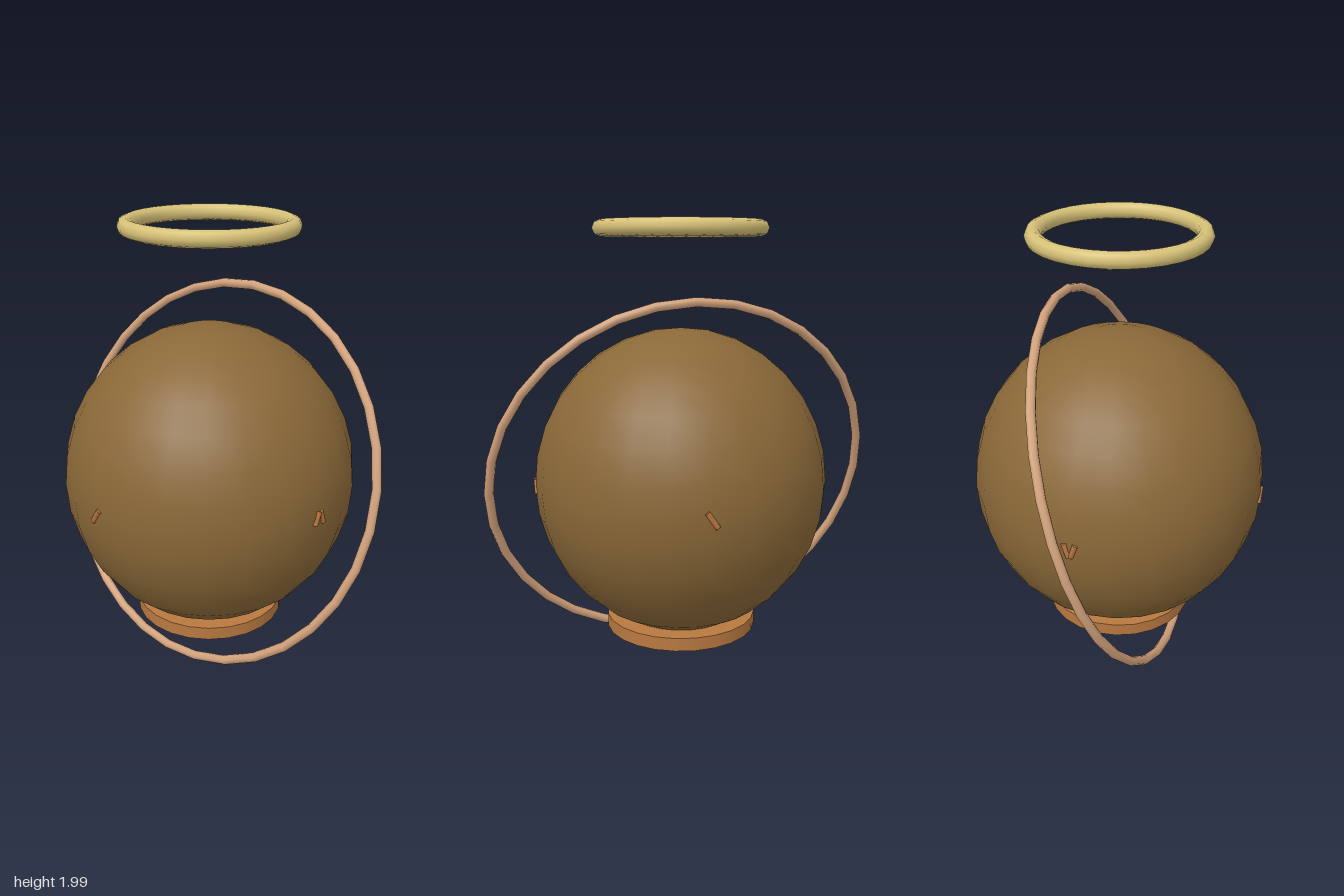
import * as THREE from 'three';

const material = (name, color) => {
  const m = new THREE.MeshStandardMaterial({ color });
  m.name = name;
  return m;
};

export function createModel() {
  const model = new THREE.Group();
  const brown = material('brown', 0x8a6838);
  const copper = material('copper', 0xb87840);
  const rose = material('rose', 0xd2a27c);
  const gold = material('gold', 0xd8c278);
  const midY = 0.845;

  const add = (name, geometry, mat, x, y, z) => {
    const mesh = new THREE.Mesh(geometry, mat);
    mesh.name = name;
    mesh.position.set(x, y, z);
    model.add(mesh);
    return mesh;
  };

  // Slightly tall globe resting in the base
  const globe = new THREE.SphereGeometry(0.66, 24, 16);
  globe.scale(1, 0.69 / 0.66, 1);
  add('globe', globe, brown, 0, midY, 0);

  // Flat round base
  add('base', new THREE.CylinderGeometry(0.345, 0.345, 0.06, 24), copper, 0, 0.18, 0);

  // Large tilted ring around the globe
  const orbit = add('orbitRing', new THREE.TorusGeometry(0.866, 0.021, 8, 32), rose, 0, midY, 0);
  const normal = new THREE.Vector3(0.08, 0.348, 1).normalize();
  orbit.quaternion.setFromUnitVectors(new THREE.Vector3(0, 0, 1), normal);

  // Level ring floating above
  const halo = new THREE.TorusGeometry(0.35, 0.036, 8, 32);
  halo.rotateX(Math.PI / 2);
  add('topRing', halo, gold, 0, 1.964, 0);

  // Small studs breaking the surface at the four sides
  const stud = (name, from, to) => {
    const a = new THREE.Vector3(...from), b = new THREE.Vector3(...to);
    const c = a.clone().add(b).multiplyScalar(0.5);
    const mesh = add(name, new THREE.CylinderGeometry(0.013, 0.013, a.distanceTo(b), 6), copper, c.x, c.y, c.z);
    mesh.quaternion.setFromUnitVectors(new THREE.Vector3(0, 1, 0), b.sub(a).normalize());
  };
  for (const s of [1, -1]) {
    stud(s > 0 ? 'frontStud' : 'backStud', [-0.022, 0.81, s * 0.654], [0.022, 0.874, s * 0.654]);
    for (const t of [1, -1]) {
      stud(s > 0 ? 'leftStud' : 'rightStud', [s * 0.653, 0.843 - s * 0.03, t * 0.026], [s * 0.655, 0.843 + s * 0.03, t * 0.004]);
    }
  }
  return model;
}
